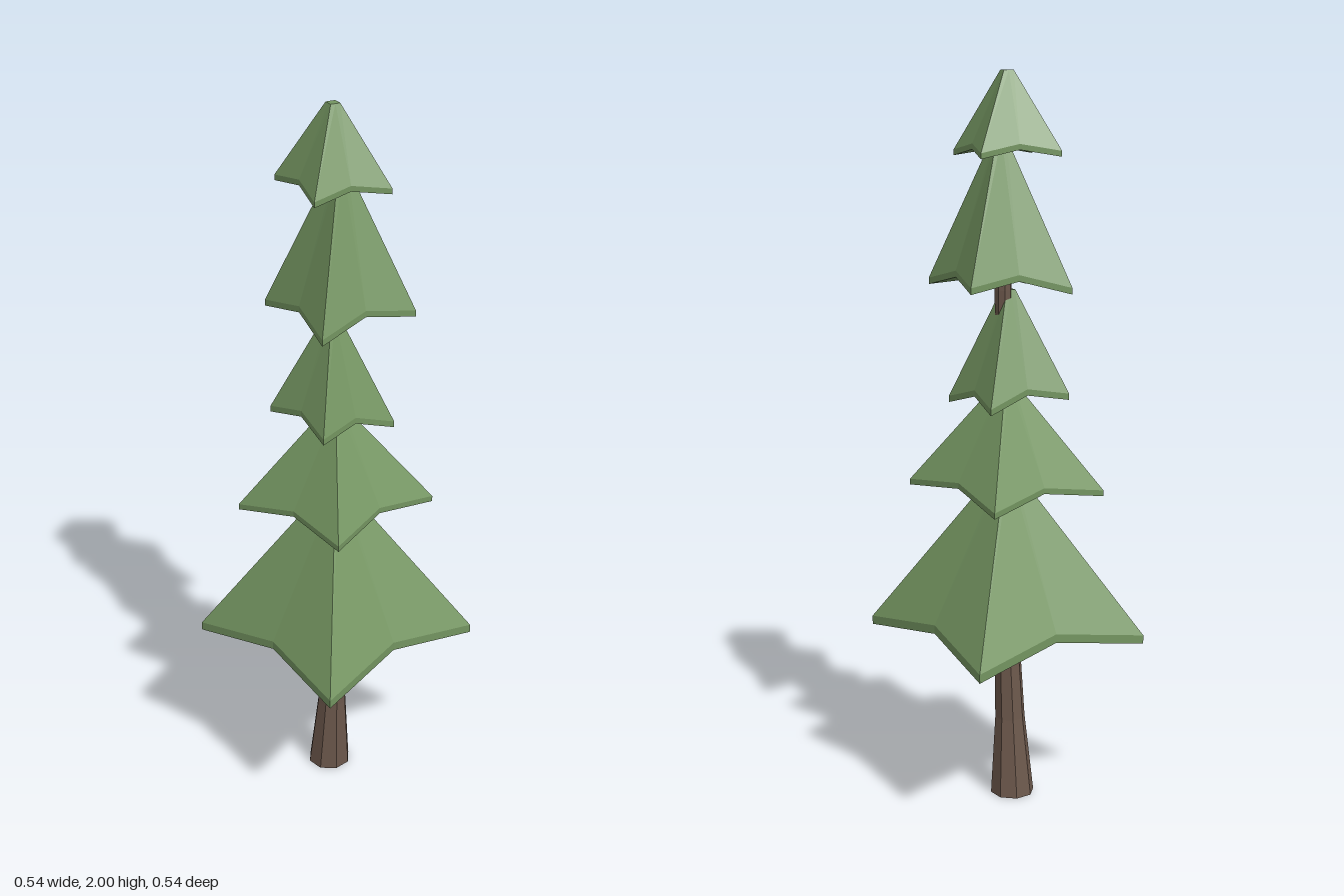
import * as THREE from 'three';

const SIDES = 8;
const leafMaterial = new THREE.MeshStandardMaterial({ color: 0x739460, flatShading: true });
const barkMaterial = new THREE.MeshStandardMaterial({ color: 0x6b574b, flatShading: true });

// Skin a stack of rings (bottom to top), closed by a fan at each end
function loft(rings, bottom, top) {
  const positions = [];
  const tri = (...pts) => pts.forEach((p) => positions.push(p.x, p.y, p.z));
  const first = rings[0], last = rings[rings.length - 1];
  for (let i = 0; i < SIDES; i++) {
    const j = (i + 1) % SIDES;
    tri(bottom, first[i], first[j]);
    for (let k = 0; k < rings.length - 1; k++) {
      const lo = rings[k], hi = rings[k + 1];
      tri(lo[i], hi[i], lo[j]);
      tri(lo[j], hi[i], hi[j]);
    }
    tri(top, last[j], last[i]);
  }
  const geometry = new THREE.BufferGeometry();
  geometry.setAttribute('position', new THREE.Float32BufferAttribute(positions, 3));
  geometry.computeVertexNormals();
  return geometry;
}

// Eight points around (x, z); point(i) gives the radius and height of each
function ring(x, z, turn, point) {
  return Array.from({ length: SIDES }, (_, i) => {
    const [radius, y] = point(i);
    const a = (i * Math.PI) / 4 + turn;
    return new THREE.Vector3(x + radius * Math.cos(a), y, z + radius * Math.sin(a));
  });
}

// Four-pointed bough layer: drooping corners, raised and pulled-in side middles
function createTier({ x, z, r, turn, corner, mid, apex, lip, tx, tz }) {
  const angle = THREE.MathUtils.degToRad(turn);
  const rim = ring(x, z, angle, (i) => (i % 2 ? [r, corner] : [r * 0.615, mid]));
  rim.forEach((p) => { p.y += tx * (p.x - x) + tz * (p.z - z); });
  const under = rim.map((p) => new THREE.Vector3(p.x, p.y - lip, p.z));
  const tip = ring(x, z, angle, (i) => [i % 2 ? 0.019 : 0.0135, apex]);
  return loft([under, rim, tip],
    new THREE.Vector3(x, mid - lip + 0.005, z), new THREE.Vector3(x, apex, z));
}

export function createModel() {
  const tree = new THREE.Group();
  tree.name = 'pineTree';

  // Slightly crooked trunk: x, y, z, radius
  const stations = [
    [-0.025, 0, 0.003, 0.061], [-0.011, 0.22, 0.005, 0.042], [0.002, 0.5, 0.002, 0.034],
    [0, 0.9, 0, 0.03], [-0.022, 1.43, -0.025, 0.023], [-0.027, 1.78, -0.018, 0.014],
  ];
  const rings = stations.map(([x, y, z, r]) => ring(x, z, Math.PI / 8, () => [r, y]));
  const [b, t] = [stations[0], stations[stations.length - 1]];
  const trunk = new THREE.Mesh(loft(rings,
    new THREE.Vector3(b[0], b[1], b[2]), new THREE.Vector3(t[0], t[1], t[2])), barkMaterial);
  trunk.name = 'trunk';
  tree.add(trunk);

  // Bough layers, from the lowest to the top
  const tiers = [
    { x: 0, z: 0, r: 0.383, turn: 0, corner: 0.484, mid: 0.53, apex: 0.94, lip: 0.024, tx: 0.02, tz: 0 },
    { x: 0, z: 0, r: 0.266, turn: -3.8, corner: 0.889, mid: 0.92, apex: 1.18, lip: 0.016, tx: 0.05, tz: 0 },
    { x: -0.022, z: -0.008, r: 0.168, turn: 5.5, corner: 1.144, mid: 1.175, apex: 1.43, lip: 0.017, tx: -0.03, tz: 0.08 },
    { x: -0.027, z: -0.04, r: 0.203, turn: 10.5, corner: 1.45, mid: 1.482, apex: 1.83, lip: 0.017, tx: -0.02, tz: -0.06 },
    { x: -0.027, z: -0.016, r: 0.156, turn: 14.8, corner: 1.795, mid: 1.815, apex: 2, lip: 0.015, tx: -0.02, tz: 0 },
  ];
  tiers.forEach((spec, i) => {
    const tier = new THREE.Mesh(createTier(spec), leafMaterial);
    tier.name = `foliageTier${i + 1}`;
    tree.add(tier);
  });
  return tree;
}
